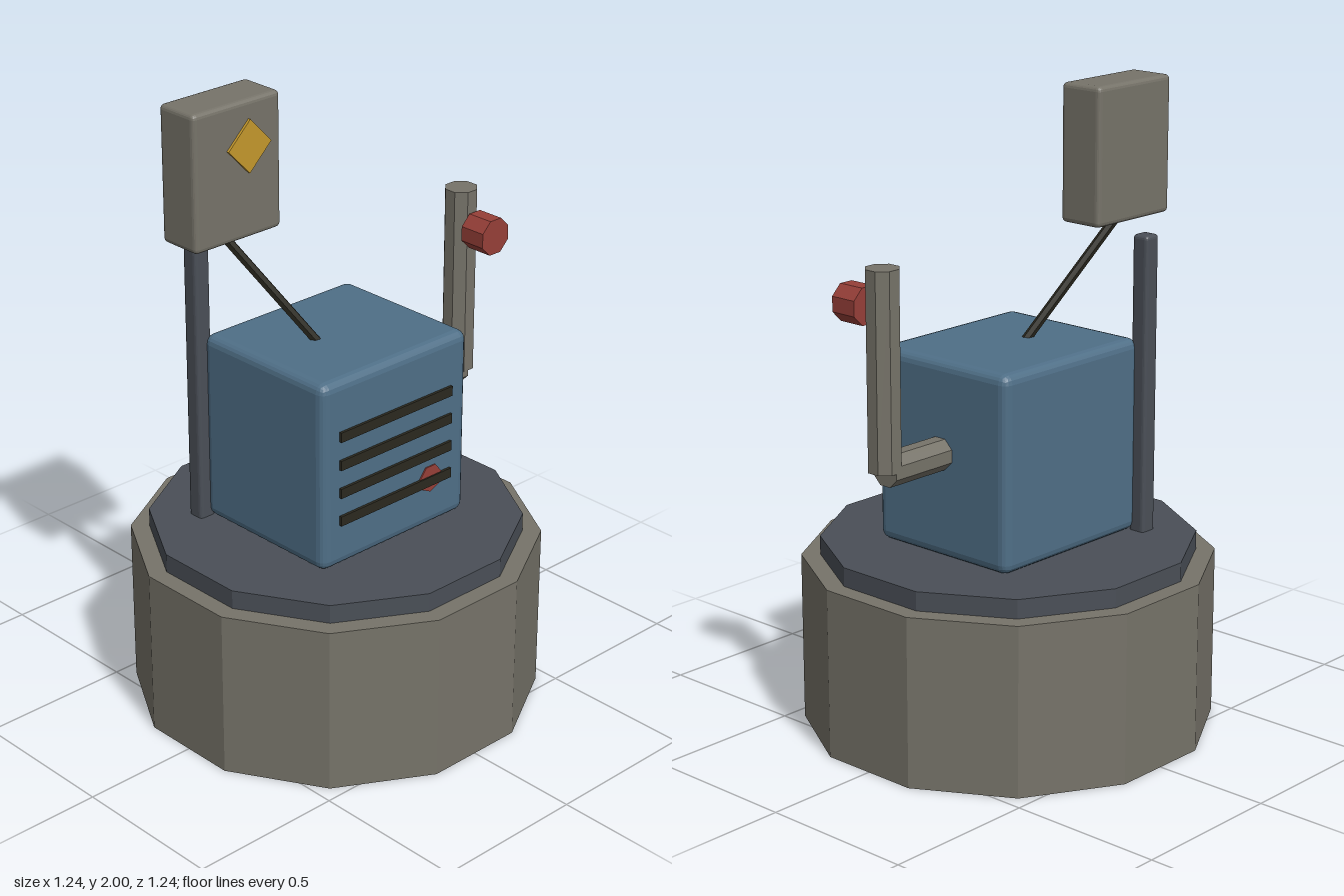
import * as THREE from 'three';
import { RoundedBoxGeometry } from 'three/addons/geometries/RoundedBoxGeometry.js';

const paint = (name, color) => {
  const m = new THREE.MeshStandardMaterial({ color, flatShading: true });
  m.name = name;
  return m;
};

export function createModel() {
  const stone = paint('warm grey', 0x767369);
  const slate = paint('slate', 0x4a4f57);
  const blue = paint('steel blue', 0x4f6f87);
  const dark = paint('near black', 0x2b291f);
  const red = paint('red', 0x963f38);
  const yellow = paint('amber', 0xc4982c);

  const model = new THREE.Group();
  model.name = 'generator';

  const add = (name, geometry, material, x, y, z) => {
    const mesh = new THREE.Mesh(geometry, material);
    mesh.name = name;
    mesh.position.set(x, y, z);
    model.add(mesh);
    return mesh;
  };
  const box = (name, w, h, d, bevel, material, x, y, z) =>
    add(name, new RoundedBoxGeometry(w, h, d, 2, bevel), material, x, y, z);
  // Prism with flat sides facing the axes
  const prism = (r, h, sides) => new THREE.CylinderGeometry(r, r, h, sides).rotateY(Math.PI / sides);
  // Straight bar between two points
  const bar = (name, a, b, r, sides, material) => {
    const dir = b.clone().sub(a);
    const mesh = add(name, prism(r, dir.length(), sides), material, 0, 0, 0);
    mesh.position.copy(a).add(b).multiplyScalar(0.5);
    mesh.quaternion.setFromUnitVectors(new THREE.Vector3(0, 1, 0), dir.normalize());
    return mesh;
  };

  // Twelve-sided plinth and its inset top slab
  add('plinth', prism(0.643, 0.54, 12), stone, 0, 0.27, 0);
  add('topSlab', prism(0.584, 0.06, 12), slate, 0, 0.57, 0);

  // Main housing with front vents
  box('housing', 0.605, 0.615, 0.53, 0.03, blue, 0, 0.908, 0);
  for (let i = 0; i < 4; i++) {
    add('vent', new THREE.BoxGeometry(0.465, 0.032, 0.02), dark, -0.002, 0.757 + i * 0.093, 0.264);
  }
  add('button', new THREE.CylinderGeometry(0.046, 0.046, 0.02, 7).rotateX(Math.PI / 2),
    red, 0.147, 0.765, 0.259);

  // Exhaust pipe with red valve
  const elbow = new THREE.Vector3(0.535, 0.93, 0);
  bar('exhaustArm', new THREE.Vector3(0.25, 0.93, 0), elbow, 0.052, 8, stone);
  bar('exhaustStack', elbow, new THREE.Vector3(0.535, 1.54, 0), 0.053, 8, stone);
  add('valve', prism(0.061, 0.09, 8).rotateX(Math.PI / 2), red, 0.535, 1.418, 0.105);

  // Rear post, running down through the plinth
  box('rearPost', 0.058, 1.535, 0.058, 0.012, slate, -0.31, 0.7725, -0.277);

  // Sign panel on a slanted rod
  bar('signRod', new THREE.Vector3(-0.07, 1.2, 0), new THREE.Vector3(-0.32, 1.59, -0.165), 0.015, 6, dark);
  box('signPanel', 0.332, 0.425, 0.15, 0.015, stone, -0.31, 1.787, -0.155);
  add('signDiamond', new THREE.BoxGeometry(0.116, 0.116, 0.009), yellow, -0.27, 1.86, -0.076)
    .rotation.z = 0.76;

  return model;
}
